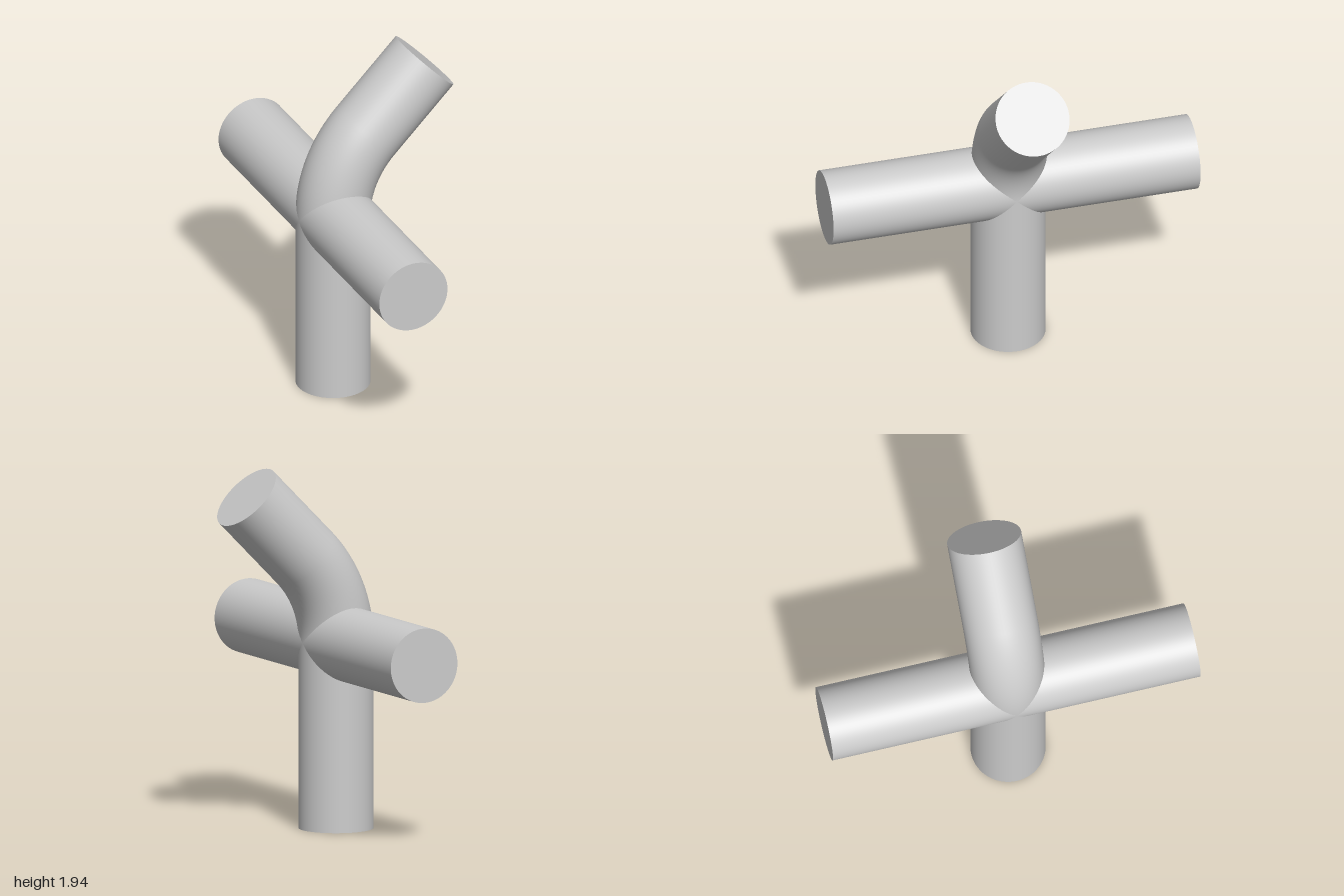
import * as THREE from 'three';

const R = 0.199;       // pipe radius
const AXIS_X = -0.24;  // axis of the upright pipe
const HUB_Y = 1;       // height where the pipes cross
const BEND_R = 0.65;   // centreline radius of the elbow
const BEND = Math.PI / 4;
const SIDES = 64;

export function createModel() {
  const model = new THREE.Group();
  const material = new THREE.MeshStandardMaterial({ color: 0xcccccc });

  // Straight pipe along local +y from its origin, closed at the far end only
  function pipe(name, length) {
    const group = new THREE.Group();
    group.name = name;
    const wall = new THREE.Mesh(new THREE.CylinderGeometry(R, R, length, SIDES, 1, true), material);
    wall.name = name + 'Wall';
    wall.position.y = length / 2;
    const cap = new THREE.Mesh(new THREE.CircleGeometry(R, SIDES), material);
    cap.name = name + 'Cap';
    cap.rotation.x = -Math.PI / 2;
    cap.position.y = length;
    group.add(wall, cap);
    model.add(group);
    return group;
  }

  // Upright pipe, from the crossing down to the ground
  const post = pipe('uprightPipe', HUB_Y);
  post.position.set(AXIS_X, HUB_Y, 0);
  post.rotation.x = Math.PI;

  // Two horizontal arms, front and back
  for (const side of [1, -1]) {
    const arm = pipe(side > 0 ? 'frontArm' : 'backArm', 1);
    arm.position.set(AXIS_X, HUB_Y, 0);
    arm.rotation.x = side * Math.PI / 2;
  }

  // Elbow leaning towards +x
  const elbow = new THREE.Mesh(new THREE.TorusGeometry(BEND_R, R, SIDES, 16, BEND), material);
  elbow.name = 'elbow';
  elbow.position.set(AXIS_X + BEND_R, HUB_Y, 0);
  elbow.rotation.z = Math.PI - BEND;
  model.add(elbow);

  // Sloping pipe continuing from the elbow
  const slope = pipe('slopingPipe', 0.487);
  slope.position.set(
    AXIS_X + BEND_R * (1 - Math.cos(BEND)),
    HUB_Y + BEND_R * Math.sin(BEND), 0);
  slope.rotation.z = -BEND;

  return model;
}
